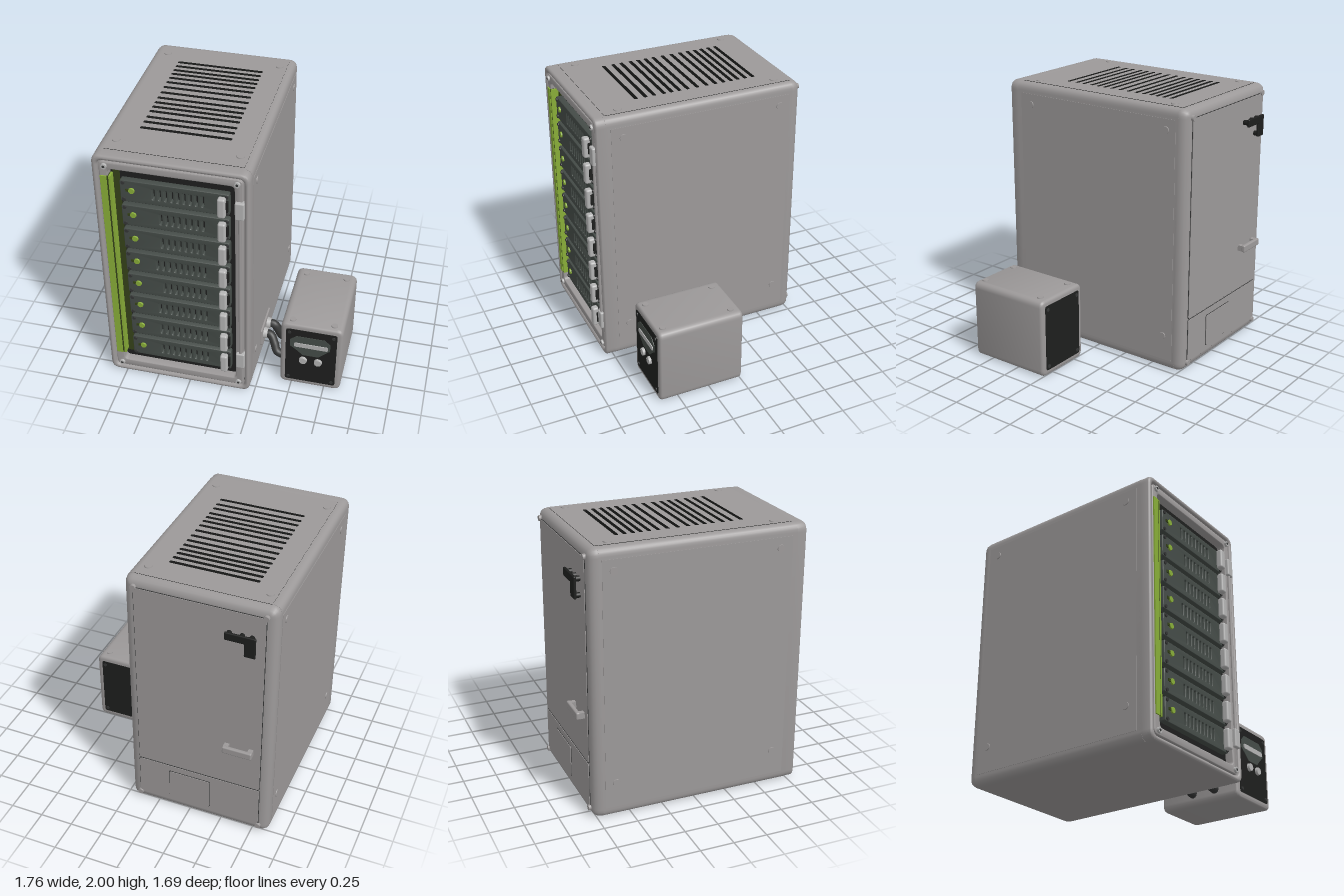
import * as THREE from 'three';
import { toCreasedNormals } from 'three/addons/utils/BufferGeometryUtils.js';
import { RoundedBoxGeometry } from 'three/addons/geometries/RoundedBoxGeometry.js';

const paint = (name, color) => Object.assign(new THREE.MeshStandardMaterial({ color }), { name });

export function createModel() {
  const grey = paint('casing grey', 0x9c9999);
  const pale = paint('pale grey', 0xb4b4b4);
  const drawerGrey = paint('drawer grey', 0x454c48);
  const black = paint('black', 0x1e1f1e);
  const dark = paint('dark rubber', 0x343535);
  const green = paint('bright green', 0x88ad38);
  const olive = paint('dark green', 0x35421a);

  const model = new THREE.Group();
  model.name = 'storageCabinet';
  const group = (name, parent = model) => {
    const g = new THREE.Group();
    g.name = name;
    parent.add(g);
    return g;
  };
  const add = (parent, name, geo, mat, x = 0, y = 0, z = 0) => {
    const m = new THREE.Mesh(geo, mat);
    m.name = name;
    m.position.set(x, y, z);
    parent.add(m);
    return m;
  };

  // Rounded rectangle given by its two corners
  const trace = (s, x0, y0, x1, y1, r) => {
    s.moveTo(x0 + r, y0).lineTo(x1 - r, y0).quadraticCurveTo(x1, y0, x1, y0 + r);
    s.lineTo(x1, y1 - r).quadraticCurveTo(x1, y1, x1 - r, y1);
    s.lineTo(x0 + r, y1).quadraticCurveTo(x0, y1, x0, y1 - r);
    s.lineTo(x0, y0 + r).quadraticCurveTo(x0, y0, x0 + r, y0);
    return s;
  };
  const rect = (...a) => trace(new THREE.Shape(), ...a);
  const hole = (...a) => trace(new THREE.Path(), ...a);
  // Slab spanning z0 to z1, with rounded rims kept inside the outline
  const slab = (shape, z0, z1, b = 0) => toCreasedNormals(new THREE.ExtrudeGeometry(shape, {
    depth: z1 - z0 - 2 * b, bevelEnabled: b > 0, bevelSize: b, bevelThickness: b,
    bevelOffset: -b, bevelSegments: 4, curveSegments: 6,
  }).translate(0, 0, z0 + b), 0.6);
  const box = (x0, x1, y0, y1, z0, z1) => new THREE.BoxGeometry(x1 - x0, y1 - y0, z1 - z0)
    .translate((x0 + x1) / 2, (y0 + y1) / 2, (z0 + z1) / 2);
  const disc = (r, h, axis = 'y') => {
    const g = new THREE.CylinderGeometry(r * 0.9, r, h, 20);
    if (axis === 'z') g.rotateX(Math.PI / 2);
    if (axis === 'x') g.rotateZ(-Math.PI / 2);
    return g;
  };

  const L = -0.875, R = 0.215, B = 0.005, T = 1.99;

  // Cabinet body with a trench along the top for the grille
  const cabinet = group('cabinet');
  const core = new THREE.Shape();
  core.moveTo(L + 0.06, B).lineTo(R - 0.06, B).quadraticCurveTo(R, B, R, B + 0.06);
  core.lineTo(R, T - 0.06).quadraticCurveTo(R, T, R - 0.055, T).lineTo(0.16, 1.93).lineTo(-0.81, 1.93);
  core.lineTo(-0.81, T).lineTo(L + 0.06, T).quadraticCurveTo(L, T, L, T - 0.06);
  core.lineTo(L, B + 0.06).quadraticCurveTo(L, B, L + 0.06, B);
  add(cabinet, 'body', slab(core, -0.71, 0.735), grey);
  add(cabinet, 'backCap', slab(rect(L, B, R, T, 0.065), -0.78, -0.64, 0.06), grey);

  // Slotted top grille
  const grille = rect(-0.81, -0.72, 0.16, 0.715, 0.004);
  for (const z of [-0.5, -0.44, -0.38, -0.325, -0.265, -0.2, -0.13, -0.055, 0.02, 0.085, 0.145, 0.205, 0.28, 0.345, 0.42])
    grille.holes.push(hole(-0.65, -z - 0.014, 0, -z + 0.014, 0.012));
  add(cabinet, 'topGrille', slab(grille, 0, 0.063).rotateX(-Math.PI / 2), [grey, black], 0, 1.93, 0);
  for (const x of [-0.76, 0.105]) for (const z of [-0.61, 0.605])
    add(cabinet, 'topScrew', disc(0.03, 0.012), grey, x, 1.994, z);

  // Side panels and their screws
  for (const [x, s] of [[L, -1], [R, 1]]) {
    add(cabinet, 'sidePanel', box(-0.003, 0.003, 0.08, 1.91, -0.69, 0.7), grey, x, 0, 0);
    for (const y of [0.27, 1.83]) for (const z of [-0.61, 0.61])
      add(cabinet, 'sideScrew', disc(0.03, 0.018, 'x'), grey, x, y, z).rotation.y = s < 0 ? Math.PI : 0;
  }

  // Front bezel and inner frame
  const bezel = rect(L, B, R, T, 0.065);
  bezel.holes.push(hole(-0.835, 0.045, 0.175, 1.95, 0.04));
  add(cabinet, 'frontBezel', slab(bezel, 0.7, 0.81, 0.02), grey);
  const frame = rect(-0.826, 0.054, 0.166, 1.941, 0.035);
  frame.holes.push(hole(-0.765, 0.115, 0.11, 1.885, 0.03));
  add(cabinet, 'innerFrame', slab(frame, 0.735, 0.803, 0.008), grey);
  add(cabinet, 'frontBacking', box(-0.85, 0.19, 0.03, 1.96, 0.73, 0.742), black);
  for (const x of [-0.785, 0.13]) for (const y of [0.085, 1.91]) {
    add(cabinet, 'frontScrew', disc(0.022, 0.02, 'z'), pale, x, y, 0.808);
    add(cabinet, 'screwSocket', disc(0.01, 0.004, 'z'), dark, x, y, 0.818);
  }

  // Hinges on the model's left
  for (const y of [0.32, 1.70])
    add(cabinet, 'hinge', new RoundedBoxGeometry(0.065, 0.14, 0.05, 2, 0.01), pale, 0.147, y, 0.803);
  add(cabinet, 'hingeRod', new THREE.CylinderGeometry(0.012, 0.012, 1.25, 12), grey, 0.147, 1.01, 0.808);

  // Green light strip
  add(cabinet, 'lightStrip', box(-0.818, -0.772, 0.19, 1.83, 0.79, 0.812), green);
  add(cabinet, 'stripGap', box(-0.772, -0.76, 0.19, 1.83, 0.75, 0.806), olive);
  add(cabinet, 'lightStripEdge', box(-0.76, -0.746, 0.19, 1.83, 0.75, 0.808), green);
  add(cabinet, 'stripGlow', box(-0.746, -0.70, 0.17, 1.85, 0.742, 0.75), olive);

  // Eight vented drawers
  for (let i = 0; i < 8; i++) {
    const drawer = group('drawer' + (i + 1));
    drawer.position.y = 1.715 - i * 0.2057;
    const face = rect(-0.69, -0.087, 0.07, 0.087, 0.015);
    const first = [1, 2, 4].includes(i) ? 1 : 0;
    for (let k = first; k < 9; k++) {
      const x = -0.457 + k * 0.043;
      face.holes.push(hole(x - 0.01, -0.045, x + 0.01, 0.045, 0.009));
    }
    add(drawer, 'drawerFace', slab(face, 0.742, 0.79, 0.005), drawerGrey);
    for (const x of [-0.667, 0.053]) for (const y of [-0.068, 0.068])
      add(drawer, 'drawerScrew', disc(0.014, 0.01, 'z'), dark, x, y, 0.793);
    add(drawer, 'drawerHandle', new RoundedBoxGeometry(0.055, 0.155, 0.05, 3, 0.015), pale, 0.025, 0, 0.818);
    add(drawer, 'handleMount', box(0.048, 0.066, -0.04, 0.04, 0.78, 0.815), black);
    add(drawer, 'statusLight', disc(0.023, 0.012, 'z'), green, -0.608, 0.01, 0.795);
    add(drawer, 'statusMark', box(-0.65, -0.608, 0, 0.02, 0.788, 0.796), olive);
  }

  // Back door, lower hatch and hardware
  const back = group('back');
  const backPlate = (name, x0, y0, x1, y1, z) => {
    add(back, name + 'Seam', slab(rect(x0 - 0.004, y0 - 0.004, x1 + 0.004, y1 + 0.004, 0.015), z - 0.003, z + 0.006), dark);
    add(back, name, slab(rect(x0, y0, x1, y1, 0.013), z - 0.007, z + 0.004), grey);
  };
  backPlate('backDoor', -0.8, 0.425, 0.14, 1.92, -0.78);
  backPlate('backHatch', -0.8, 0.075, 0.14, 0.41, -0.78);
  backPlate('hatchCover', -0.42, 0.12, -0.1, 0.36, -0.786);
  for (const x of [-0.8, 0.14]) for (const y of [0.07, 1.925])
    add(back, 'backScrew', disc(0.022, 0.02, 'z'), grey, x, y, -0.787).rotation.y = Math.PI;
  add(back, 'pullHandle', new RoundedBoxGeometry(0.22, 0.055, 0.03, 2, 0.01), grey, -0.64, 0.767, -0.833);
  for (const x of [-0.73, -0.55])
    add(back, 'handlePost', box(-0.018, 0.018, -0.022, 0.022, -0.835, -0.78), grey, x, 0.767, 0);
  add(back, 'latchArm', new RoundedBoxGeometry(0.22, 0.06, 0.02, 2, 0.008), black, -0.64, 1.75, -0.832);
  add(back, 'latchLeg', new RoundedBoxGeometry(0.08, 0.16, 0.02, 2, 0.008), black, -0.71, 1.7, -0.832);
  for (const [x, y] of [[-0.55, 1.75], [-0.64, 1.75], [-0.71, 1.75], [-0.71, 1.635]])
    add(back, 'latchPost', disc(0.02, 0.05, 'z'), black, x, y, -0.805);

  // Separate control box
  const unit = group('controlBox');
  add(unit, 'boxCasing', slab(rect(0.412, 0.005, 0.873, 0.603, 0.05), -0.012, 0.645, 0.025), grey);
  for (const x of [0.49, 0.80]) for (const z of [0.06, 0.59])
    add(unit, 'boxScrew', disc(0.025, 0.012), grey, x, 0.605, z);
  for (const [name, z] of [['frontPanel', 0.641], ['rearPanel', -0.016]]) {
    add(unit, name, slab(rect(0.452, 0.05, 0.832, 0.56, 0.02), z, z + 0.008), black);
    for (const x of [0.478, 0.806]) for (const y of [0.08, 0.53])
      add(unit, 'panelScrew', disc(0.014, 0.018, 'z'), dark, x, y, z + 0.004);
  }
  const screen = new THREE.Shape([[0.58, 0.32], [0.70, 0.32], [0.73, 0.35], [0.785, 0.40], [0.785, 0.46],
    [0.74, 0.50], [0.53, 0.50], [0.485, 0.46], [0.485, 0.40], [0.55, 0.35]].map(p => new THREE.Vector2(...p)));
  add(unit, 'screen', slab(screen, 0.645, 0.653), drawerGrey);
  add(unit, 'screenBar', slab(rect(0.515, 0.4, 0.77, 0.437, 0.016), 0.65, 0.659), pale);
  for (const x of [0.587, 0.70])
    add(unit, 'knob', disc(0.031, 0.022, 'z'), pale, x, 0.27, 0.657);

  // Cables from the cabinet's side to the control box
  const wiring = group('wiring');
  add(wiring, 'socketPlate', new RoundedBoxGeometry(0.02, 0.15, 0.28, 2, 0.008), grey, 0.22, 0.22, 0.31);
  for (const [z0, z1] of [[0.265, 0.265], [0.38, 0.455]]) {
    add(wiring, 'cableNut', disc(0.045, 0.035, 'x'), pale, 0.243, 0.22, z0);
    const path = new THREE.CatmullRomCurve3([[0.23, 0.22, 0], [0.285, 0.215, 0.1], [0.32, 0.165, 0.5],
      [0.35, 0.11, 0.9], [0.43, 0.09, 1]].map(([x, y, t]) => new THREE.Vector3(x, y, z0 + (z1 - z0) * t)));
    add(wiring, 'cable', new THREE.TubeGeometry(path, 24, 0.033, 12), dark);
  }
  return model;
}
